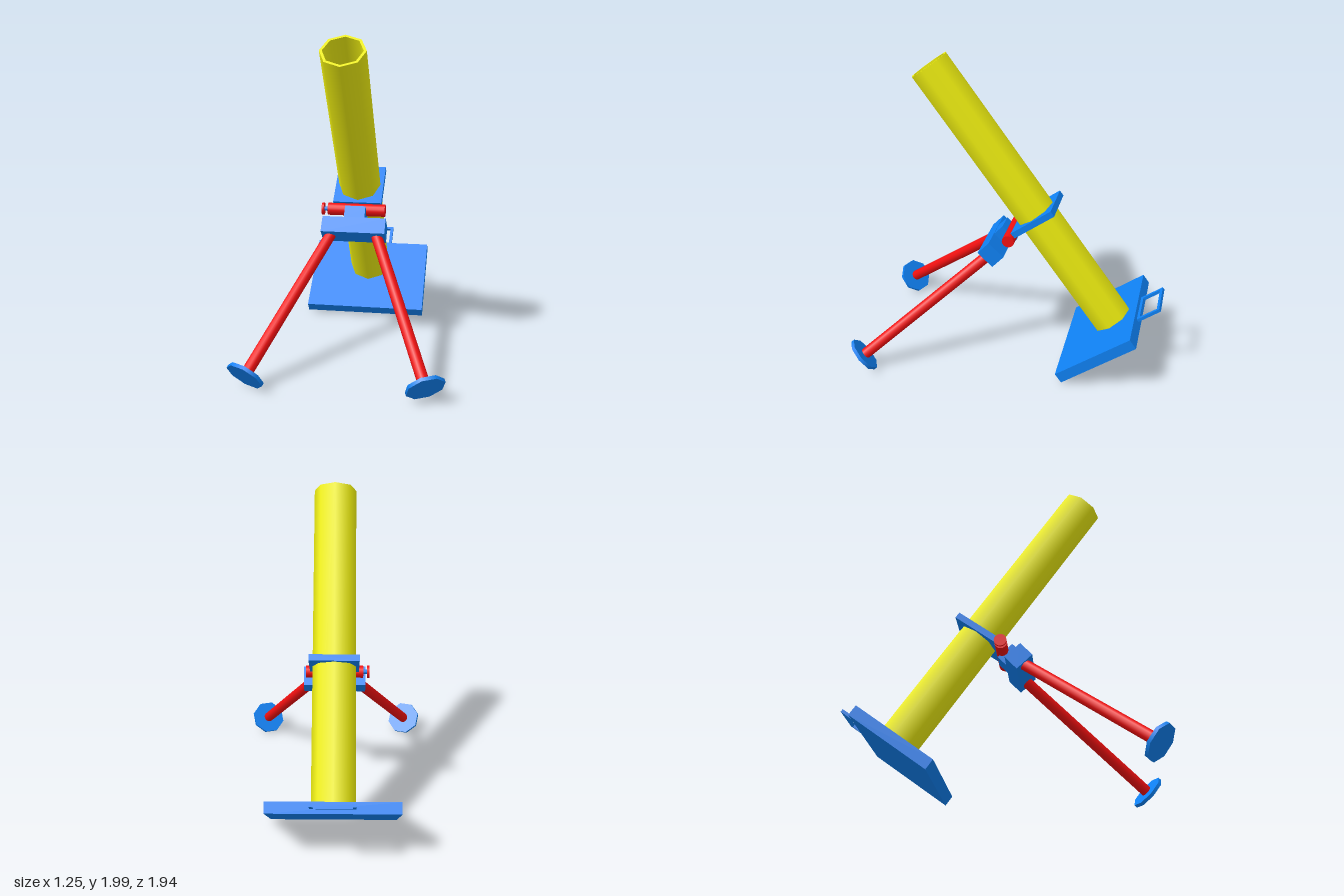
import * as THREE from 'three';

const mat = (color) => new THREE.MeshStandardMaterial({ color, side: THREE.DoubleSide });

export function createModel() {
  const root = new THREE.Group();
  const blue = mat(0x0f80f2), red = mat(0xf01010), yellow = mat(0xeeee10);

  const add = (parent, name, geometry, material, x = 0, y = 0, z = 0) => {
    const mesh = new THREE.Mesh(geometry, material);
    mesh.name = name;
    mesh.position.set(x, y, z);
    parent.add(mesh);
    return mesh;
  };
  const box = (w, h, d) => new THREE.BoxGeometry(w, h, d);

  // Tilted assembly: origin at the foot of the barrel, local y along the bore
  const barrel = new THREE.Group();
  barrel.name = 'barrelAssembly';
  barrel.position.set(0, 0.29, -0.655);
  barrel.rotation.x = THREE.MathUtils.degToRad(36);
  root.add(barrel);

  const R = 0.135, RI = 0.118, L = 2.014;
  add(barrel, 'barrelOuter', new THREE.CylinderGeometry(R, R, L, 8, 1, true), yellow, 0, L / 2, 0);
  add(barrel, 'barrelBore', new THREE.CylinderGeometry(RI, RI, L, 8, 1, true), yellow, 0, L / 2, 0);
  add(barrel, 'muzzleRim', new THREE.RingGeometry(RI, R, 8), yellow, 0, L, 0).rotation.x = -Math.PI / 2;

  // Base plate with carrying handle
  add(barrel, 'basePlate', box(0.8, 0.07, 0.565), blue, 0, -0.037, 0.088);
  const handle = new THREE.Group();
  handle.name = 'handle';
  handle.position.set(0, -0.035, -0.278);
  barrel.add(handle);
  for (const s of [-1, 1]) {
    add(handle, 'handleSide', box(0.02, 0.02, 0.166), blue, s * 0.125, 0, 0);
    add(handle, 'handleBar', box(0.27, 0.02, 0.02), blue, 0, 0, s * 0.073);
  }

  // Square collar around the barrel
  const h = 0.155;
  const square = new THREE.Shape([[-h, -h], [h, -h], [h, h], [-h, h]].map(([x, y]) => new THREE.Vector2(x, y)));
  const hole = [];
  for (let i = 0; i < 8; i++) {
    const a = -i * Math.PI / 4;
    hole.push(new THREE.Vector2(R * Math.cos(a), R * Math.sin(a)));
  }
  square.holes.push(new THREE.Path(hole));
  const collarGeo = new THREE.ExtrudeGeometry(square, { depth: 0.04, bevelEnabled: false });
  add(barrel, 'collar', collarGeo, blue, 0, 0.842, 0).rotation.x = -Math.PI / 2;

  // Pivot axle with adjusting knob on the right
  const pivot = new THREE.Group();
  pivot.name = 'pivot';
  pivot.position.set(0, 0.867, 0);
  root.add(pivot);
  const rod = (name, r, x0, x1, material) => {
    add(pivot, name, new THREE.CylinderGeometry(r, r, x1 - x0, 16), material, (x0 + x1) / 2).rotation.z = Math.PI / 2;
  };
  rod('axle', 0.039, -0.183, 0.183, red);
  rod('knobShaft', 0.014, -0.21, -0.18, blue);
  rod('knob', 0.039, -0.222, -0.208, red);

  // Bipod head: wide block with a narrow neck up to the axle
  const head = new THREE.Group();
  head.name = 'bipodHead';
  head.position.set(0, 0.767, 0.109);
  head.rotation.x = THREE.MathUtils.degToRad(-43);
  root.add(head);
  add(head, 'headBlock', box(0.4, 0.107, 0.13), blue);
  add(head, 'headNeck', box(0.13, 0.09, 0.125), blue, 0, 0.09, 0);

  // Mirrored legs with disc feet square to the leg
  for (const s of [-1, 1]) {
    const top = new THREE.Vector3(s * 0.14, 0.745, 0.125);
    const foot = new THREE.Vector3(s * 0.515, 0.1, 0.882);
    const leg = new THREE.Group();
    leg.name = s > 0 ? 'leftLeg' : 'rightLeg';
    leg.position.copy(foot);
    const dir = top.clone().sub(foot);
    const len = dir.length();
    leg.quaternion.setFromUnitVectors(new THREE.Vector3(0, 1, 0), dir.normalize());
    root.add(leg);
    add(leg, 'legTube', new THREE.CylinderGeometry(0.035, 0.035, len, 12), red, 0, len / 2, 0);
    add(leg, 'footPad', new THREE.CylinderGeometry(0.117, 0.117, 0.022, 8), blue);
  }
  return root;
}
